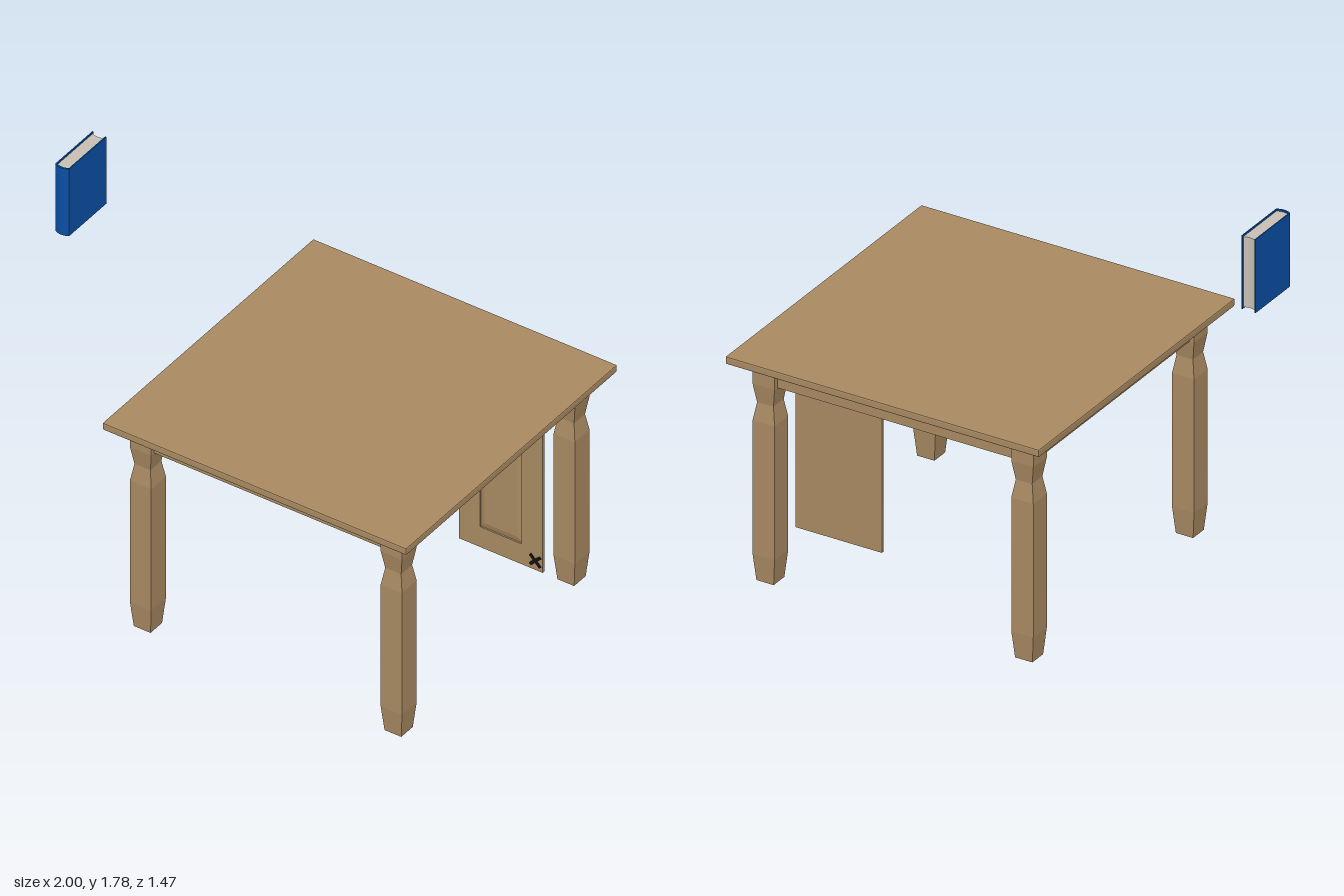
import * as THREE from 'three';
import { RoundedBoxGeometry } from 'three/addons/geometries/RoundedBoxGeometry.js';

const mat = (color) => new THREE.MeshStandardMaterial({ color, flatShading: true });
const wood = mat(0xa98a62);
const blue = mat(0x0a4fa6);
const paper = mat(0xc8c0b4);
const black = mat(0x111111);

const TABLE_X = 0.272; // middle of the table
const LEG_X = 0.6, LEG_Z = 0.6;

function add(parent, name, geometry, material, x = 0, y = 0, z = 0) {
  const mesh = new THREE.Mesh(geometry, material);
  mesh.name = name;
  mesh.position.set(x, y, z);
  parent.add(mesh);
  return mesh;
}

// Square turned profile: tapered foot, straight shaft, pinched neck, top block
function legGeometry() {
  const profile = [
    [0, 0], [0.04, 0], [0.051, 0.12], [0.051, 0.72],
    [0.038, 0.8], [0.051, 0.885], [0.051, 0.99], [0, 0.99],
  ].map(([half, y]) => new THREE.Vector2(half * Math.SQRT2, y));
  return new THREE.LatheGeometry(profile, 4, Math.PI / 4).toNonIndexed();
}

// Extrude an (x, z) outline downwards from height top
function slabDown(shape, top, height) {
  const g = new THREE.ExtrudeGeometry(shape, { depth: height, bevelEnabled: false, curveSegments: 8 });
  return g.rotateX(Math.PI / 2).translate(0, top, 0);
}

function rectPath(PathType, w, h) {
  return new PathType().moveTo(-w / 2, -h / 2).lineTo(w / 2, -h / 2)
    .lineTo(w / 2, h / 2).lineTo(-w / 2, h / 2).closePath();
}

function createTable() {
  const table = new THREE.Group();
  table.name = 'table';
  table.position.x = TABLE_X;

  add(table, 'tabletop', new RoundedBoxGeometry(1.455, 0.034, 1.465, 1, 0.006), wood, 0, 1.005, 0);

  const leg = legGeometry();
  for (const sx of [-1, 1]) for (const sz of [-1, 1]) {
    add(table, 'leg', leg, wood, sx * LEG_X, 0, sz * LEG_Z);
  }

  // Rails between the legs
  for (const s of [-1, 1]) {
    add(table, 'longRail', new THREE.BoxGeometry(1.11, 0.105, 0.04), wood, 0, 0.9375, s * 0.61);
    add(table, 'sideRail', new THREE.BoxGeometry(0.04, 0.105, 1.11), wood, s * 0.61, 0.9375, 0);
  }
  return table;
}

function createDoor() {
  const door = new THREE.Group();
  door.name = 'cabinetDoor';
  door.position.set(0.67, 0.54, -0.415);
  const w = 0.4, h = 0.79, m = 0.1;

  add(door, 'doorBack', new THREE.BoxGeometry(w, h, 0.006), wood, 0, 0, 0.003);

  // Frame around the opening
  const frame = rectPath(THREE.Shape, w, h);
  frame.holes.push(rectPath(THREE.Path, w - 2 * m, h - 2 * m));
  add(door, 'doorFrame', new THREE.ExtrudeGeometry(frame, { depth: 0.007, bevelEnabled: false }),
    wood, 0, 0, 0.006);

  // Raised field with sloping borders
  const field = new THREE.BoxGeometry(w - 2 * m, h - 2 * m, 0.007);
  const p = field.attributes.position;
  for (let i = 0; i < p.count; i++) {
    if (p.getZ(i) > 0) {
      p.setX(i, p.getX(i) - Math.sign(p.getX(i)) * 0.02);
      p.setY(i, p.getY(i) - Math.sign(p.getY(i)) * 0.025);
    }
  }
  field.computeVertexNormals();
  add(door, 'doorField', field, wood, 0, 0, 0.0085);

  // Crossed hinges near the hinge-side edge
  for (const y of [-0.35, 0.32]) {
    const hinge = new THREE.Group();
    hinge.name = 'hinge';
    hinge.position.set(0.165, y, 0.013);
    for (const s of [-1, 1]) {
      const bar = add(hinge, 'hingeBar', new THREE.BoxGeometry(0.07, 0.014, 0.006), black);
      bar.rotation.z = s * Math.PI / 4;
    }
    door.add(hinge);
  }
  return door;
}

function createBook() {
  const book = new THREE.Group();
  book.name = 'book';
  book.position.x = -0.967;
  const half = 0.033, t = 0.005, back = 0.01, edge = 0.268;

  // Covers and rounded spine in one U-shaped outline
  const cover = new THREE.Shape();
  cover.moveTo(-half, back).lineTo(-half + t, back).lineTo(-half + t, edge - t);
  cover.quadraticCurveTo(0, edge + 0.014 - t, half - t, edge - t);
  cover.lineTo(half - t, back).lineTo(half, back).lineTo(half, edge);
  cover.quadraticCurveTo(0, edge + 0.02, -half, edge);
  cover.closePath();
  add(book, 'bookCover', slabDown(cover, 1.78, 0.33), blue);

  // Page block with a hollow fore-edge
  const pages = new THREE.Shape();
  const pw = half - t;
  pages.moveTo(-pw, back + 0.006).quadraticCurveTo(0, back + 0.018, pw, back + 0.006);
  pages.lineTo(pw, edge - t).quadraticCurveTo(0, edge + 0.014 - t, -pw, edge - t);
  pages.closePath();
  add(book, 'bookPages', slabDown(pages, 1.773, 0.316), paper);
  return book;
}

export function createModel() {
  const model = new THREE.Group();
  model.name = 'tableDoorAndBook';
  model.add(createTable(), createDoor(), createBook());
  return model;
}
